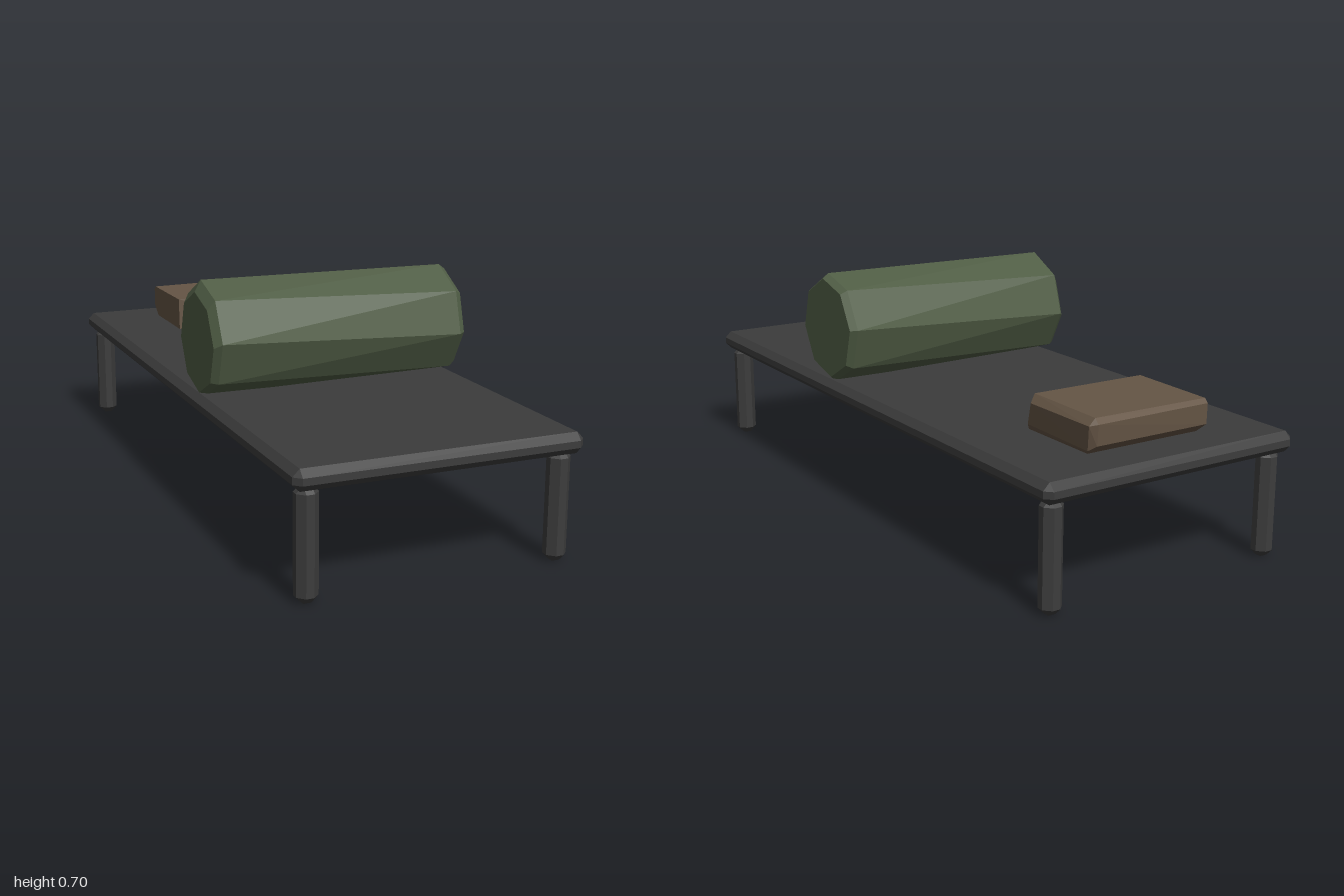
import * as THREE from 'three';
import { ConvexGeometry } from 'three/addons/geometries/ConvexGeometry.js';

const material = (name, color) => {
  const m = new THREE.MeshStandardMaterial({ color });
  m.name = name;
  return m;
};

// Box with every edge and corner cut off by c
function chamferedBox(w, h, d, c) {
  const points = [];
  for (const x of [-w / 2, w / 2]) for (const y of [-h / 2, h / 2]) for (const z of [-d / 2, d / 2]) {
    const ix = x - Math.sign(x) * c, iy = y - Math.sign(y) * c, iz = z - Math.sign(z) * c;
    points.push(new THREE.Vector3(x, iy, iz), new THREE.Vector3(ix, y, iz), new THREE.Vector3(ix, iy, z));
  }
  return new ConvexGeometry(points);
}

export function createModel() {
  const group = new THREE.Group();
  const frame = material('charcoal', 0x3c3c3c);
  const cloth = material('olive', 0x505d45);
  const tan = material('brown', 0x655545);

  const add = (name, geometry, mat, x = 0, y = 0, z = 0) => {
    const mesh = new THREE.Mesh(geometry, mat);
    mesh.name = name;
    mesh.position.set(x, y, z);
    group.add(mesh);
  };

  // Bed slab
  add('bedSlab', chamferedBox(0.84, 0.06, 2, 0.02), frame, 0, 0.34, 0);

  // Four legs with cut ends
  const leg = chamferedBox(0.063, 0.316, 0.06, 0.02);
  for (const [sx, side] of [[1, 'left'], [-1, 'right']]) {
    for (const [sz, end] of [[1, 'Front'], [-1, 'Back']]) {
      add(`${side}${end}Leg`, leg, frame, sx * 0.3685, 0.158, sz * 0.945);
    }
  }

  // Rolled blanket: octagonal, slightly twisted, with bevelled ends
  const roll = [];
  const rings = [[-0.4, 0.148, 5, 0.518], [-0.38, 0.17, 5, 0.53], [0.38, 0.17, -7, 0.53], [0.4, 0.155, -7, 0.53]];
  for (const [x, r, phase, y] of rings) {
    for (let i = 0; i < 8; i++) {
      const a = THREE.MathUtils.degToRad(phase + i * 45);
      roll.push(new THREE.Vector3(x, y + r * Math.sin(a), 0.21 + r * Math.cos(a)));
    }
  }
  add('blanketRoll', new ConvexGeometry(roll), cloth);

  // Pillow: slightly uneven block, sections given as [x, y, z]
  const pillow = [
    [-0.19, 0.475, -0.605], [-0.19, 0.472, -0.88], [-0.19, 0.46, -0.892],
    [0.185, 0.478, -0.61], [0.185, 0.475, -0.88], [0.185, 0.46, -0.895],
    [0.205, 0.455, -0.62], [0.205, 0.455, -0.88], [0.2, 0.39, -0.6], [0.2, 0.385, -0.87],
    [-0.19, 0.37, -0.6], [-0.19, 0.37, -0.85], [-0.19, 0.4, -0.89],
    [0.185, 0.37, -0.585], [0.185, 0.37, -0.85], [0.185, 0.4, -0.89],
  ];
  add('pillow', new ConvexGeometry(pillow.map((p) => new THREE.Vector3(...p))), tan);

  return group;
}
